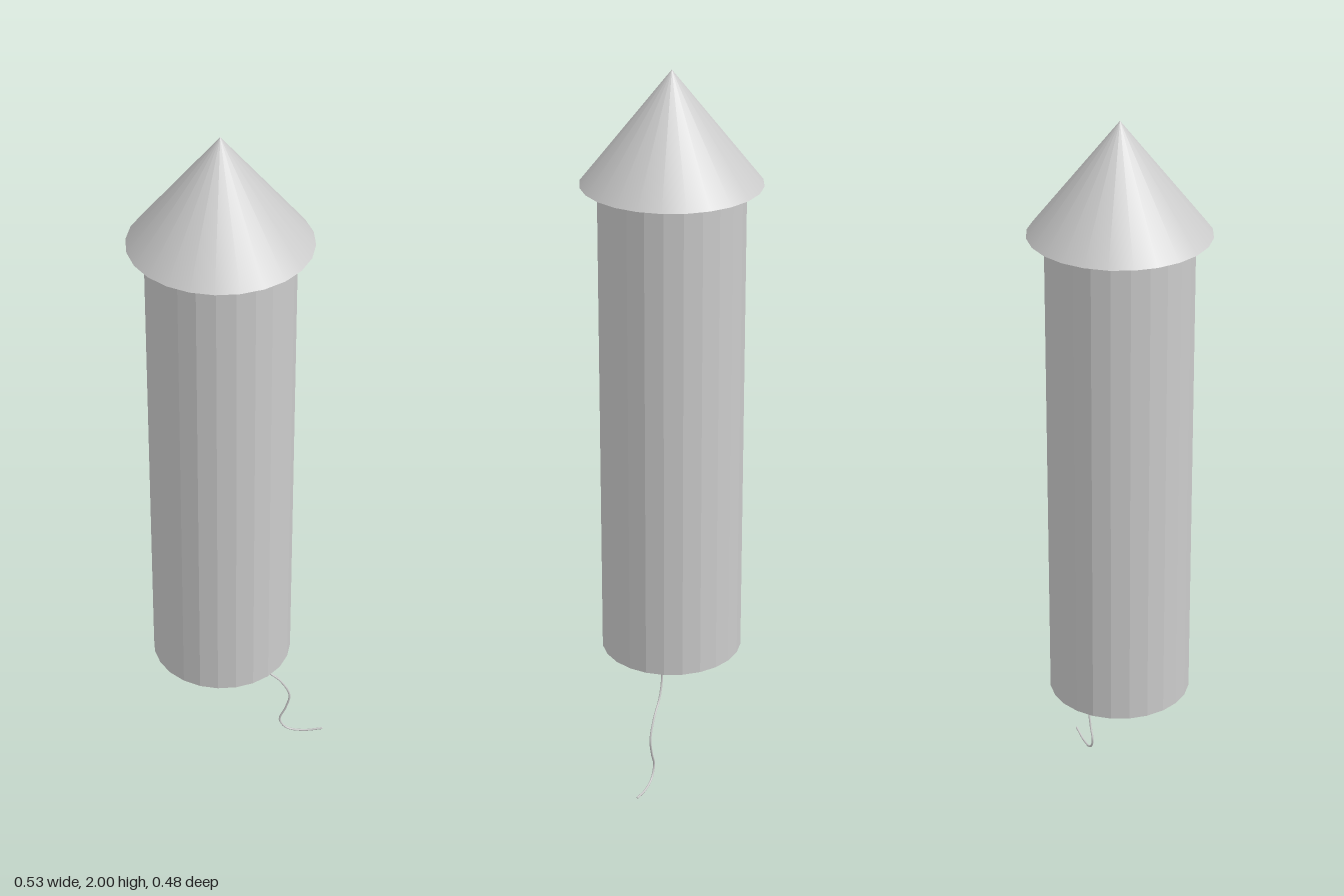
import * as THREE from 'three';

export function createModel() {
  const group = new THREE.Group();
  const axisX = -0.028;
  const sides = 24;
  const smooth = new THREE.MeshStandardMaterial({ color: 0xcccccc });
  const faceted = new THREE.MeshStandardMaterial({ color: 0xcccccc, flatShading: true });

  function add(name, geometry, material, x = 0, y = 0, z = 0) {
    const mesh = new THREE.Mesh(geometry, material);
    mesh.name = name;
    mesh.position.set(x, y, z);
    group.add(mesh);
  }

  // Faceted tube with a slightly recessed bottom, closed under the cone
  const bottom = 0.355, top = 1.70, radius = 0.194, inner = 0.188, recess = 0.02;
  const profile = [
    [0, bottom + recess], [inner, bottom + recess], [inner, bottom],
    [radius, bottom], [radius, top], [0, top],
  ].map(([r, y]) => new THREE.Vector2(r, y));
  add('body', new THREE.LatheGeometry(profile, sides), faceted, axisX);

  // Overhanging pointed cap
  add('noseCone', new THREE.ConeGeometry(0.239, 0.30, sides), smooth, axisX, 1.85);

  // Thin wavy fuse hanging from the bottom, lying in one plane
  const path = new THREE.CatmullRomCurve3([
    [0.093, 0.376], [0.086, 0.35], [0.077, 0.30], [0.097, 0.24], [0.14, 0.198],
    [0.167, 0.145], [0.157, 0.093], [0.14, 0.045], [0.161, 0.012],
    [0.209, 0.004], [0.264, 0.014],
  ].map(([x, y]) => new THREE.Vector3(x, y, 0)));
  const fuseRadius = 0.003;
  add('fuse', new THREE.TubeGeometry(path, 60, fuseRadius, 8), smooth, 0, 0, -0.013);

  // Caps closing both fuse ends
  for (const t of [0, 1]) {
    const end = path.getPoint(t);
    add('fuseEnd', new THREE.SphereGeometry(fuseRadius, 8, 6), smooth, end.x, end.y, -0.013);
  }

  return group;
}
